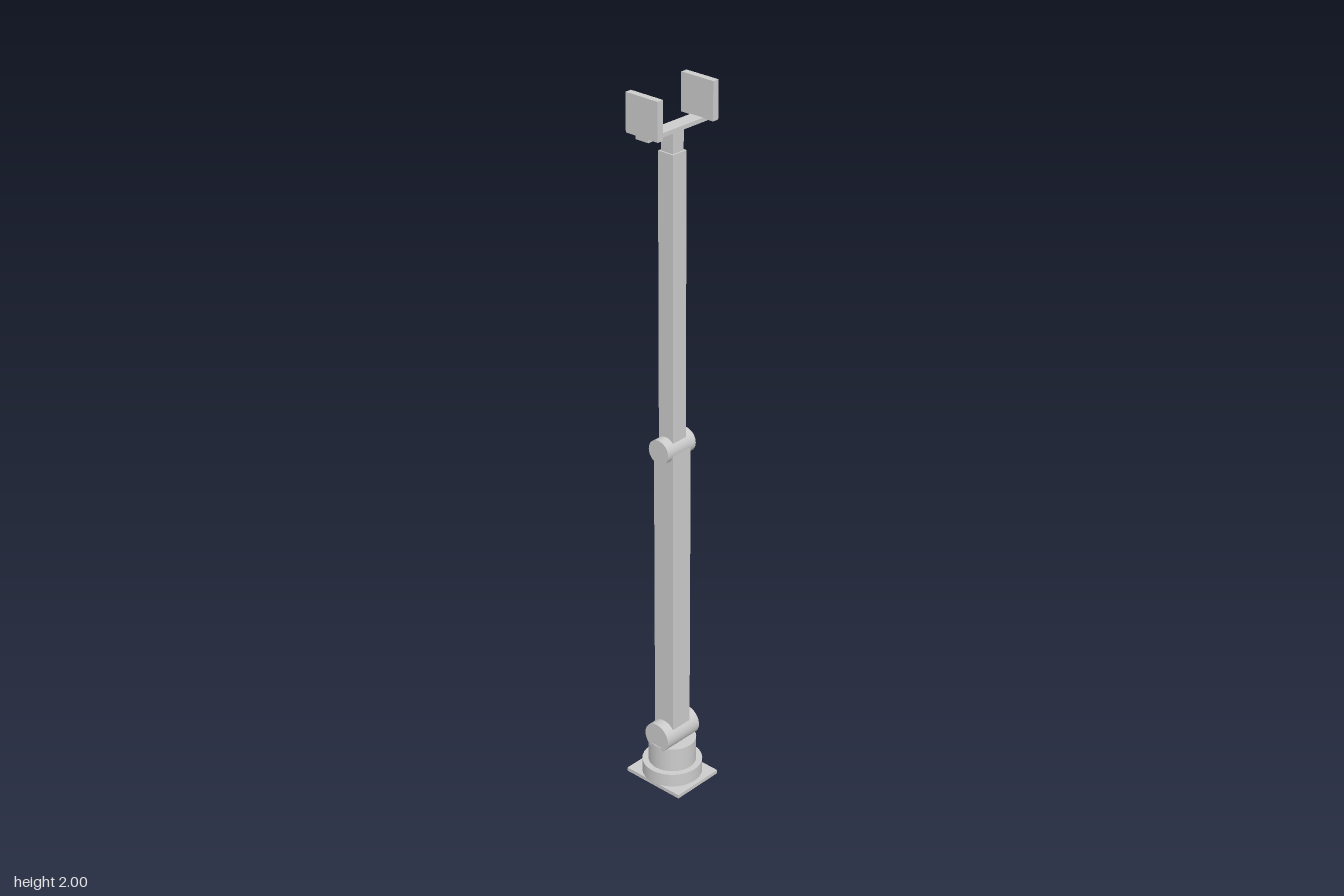
import * as THREE from 'three';

export function createModel() {
  const group = new THREE.Group();
  const grey = new THREE.MeshStandardMaterial({ color: 0xcccccc });

  const add = (name, geometry, x, y) => {
    const mesh = new THREE.Mesh(geometry, grey);
    mesh.name = name;
    mesh.position.set(x, y, 0);
    group.add(mesh);
    return mesh;
  };
  // Box and upright cylinder given by their bottom and top heights
  const box = (name, w, d, y0, y1, x = 0) =>
    add(name, new THREE.BoxGeometry(w, y1 - y0, d), x, (y0 + y1) / 2);
  const drum = (name, r, y0, y1) =>
    add(name, new THREE.CylinderGeometry(r, r, y1 - y0, 32), 0, (y0 + y1) / 2);
  // Hinge barrel lying along x
  const hinge = (name, r, length, y) =>
    add(name, new THREE.CylinderGeometry(r, r, length, 32).rotateZ(Math.PI / 2), 0, y);

  // Base: mounting plate, wide ring and turning column
  box('basePlate', 0.159, 0.191, 0, 0.011);
  drum('baseRing', 0.083, 0.011, 0.05);
  drum('turningColumn', 0.066, 0.05, 0.122);

  // Jointed arm, each beam starting at the centre of its hinge
  hinge('shoulderJoint', 0.042, 0.126, 0.148);
  box('lowerArm', 0.067, 0.067, 0.148, 1.028);
  hinge('elbowJoint', 0.034, 0.105, 1.028);
  box('upperArm', 0.049, 0.049, 1.028, 1.836);
  box('wrist', 0.039, 0.039, 1.836, 1.889);

  // Gripper: cross bar with a flat finger at each end
  box('gripperBar', 0.214, 0.041, 1.889, 1.9);
  for (const side of [1, -1]) {
    box(side > 0 ? 'leftFinger' : 'rightFinger', 0.019, 0.104, 1.898, 2, side * 0.098);
  }

  return group;
}
